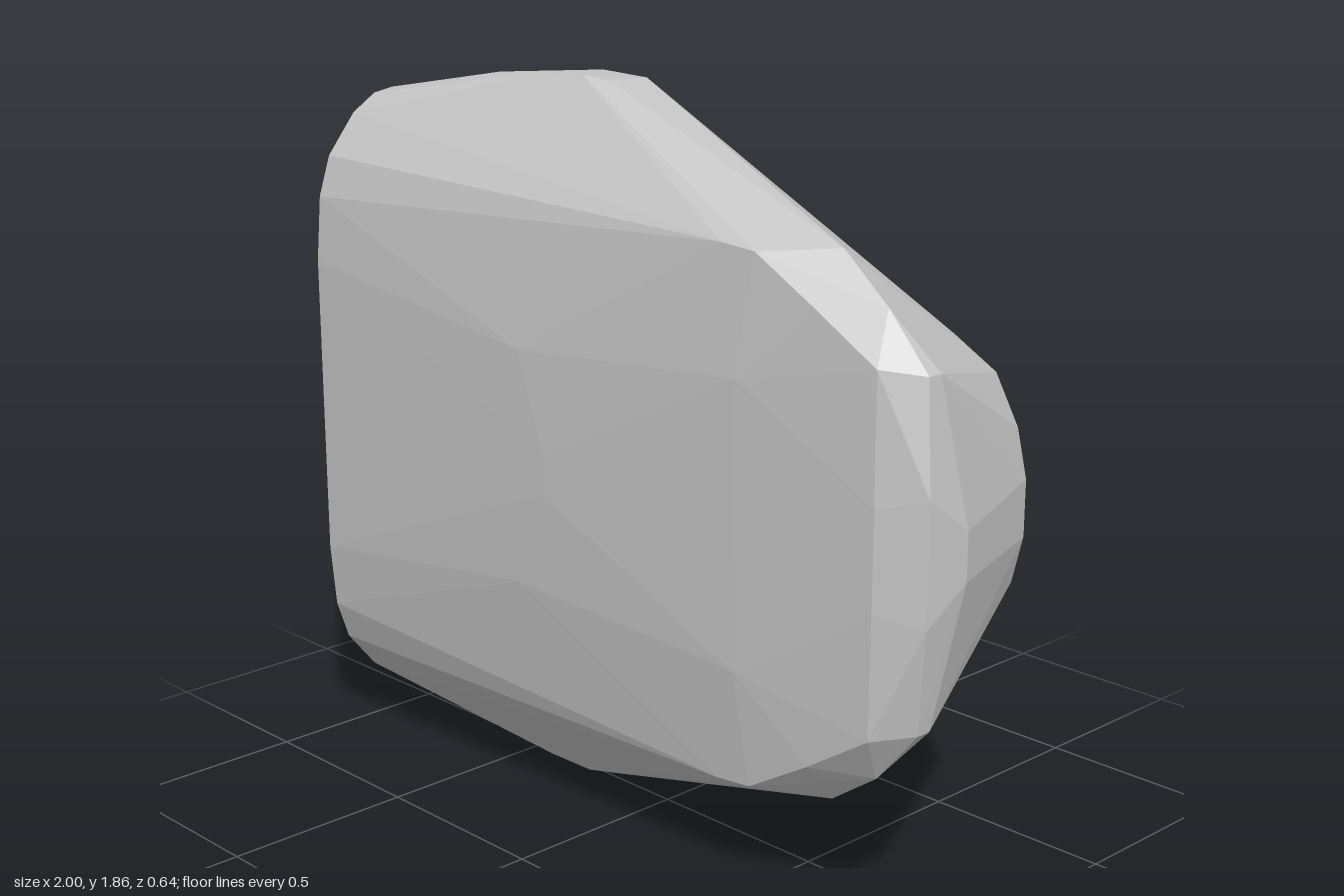
import * as THREE from 'three';
import { ConvexGeometry } from 'three/addons/geometries/ConvexGeometry.js';

const MID = 0.93; // height of the mirror plane

// Half outlines as [x, height above the mirror plane, z]
const backCut = [
  [0.87, 0.07], [0.84, 0.19], [0.77, 0.31], [0.64, 0.38], [0.12, 0.61], [-0.1, 0.65],
  [-0.3, 0.66], [-0.47, 0.63], [-0.6, 0.59], [-0.72, 0.53], [-0.81, 0.44], [-0.88, 0.32],
  [-0.93, 0.15], [-0.96, 0],
].map(([x, h]) => [x, h, -0.32]);

const sideCut = [
  [0, -0.3], [0.24, -0.29], [0.46, -0.25], [0.57, -0.21], [0.67, -0.155], [0.75, -0.09],
  [0.81, -0.01], [0.835, 0.06], [0.825, 0.12], [0.78, 0.19], [0.675, 0.275], [0.57, 0.31],
  [0.4, 0.325], [0, 0.325],
].map(([h, z]) => [-1, h, z]);

const rim = [
  [-0.62, 0.905, 0], [-0.62, 0.895, -0.1], [-0.42, 0.925, 0.03], [-0.28, 0.93, 0.02],
  [-0.2, 0.92, 0], [-0.38, 0.92, -0.14], [-0.22, 0.915, -0.14], [0.69, 0.655, 0.13],
  [0.84, 0.55, 0.15], [0.95, 0.415, 0.14], [0.95, 0.415, 0.1], [1, 0.06, 0.05],
  [0.985, 0.15, 0.165],
];

const frontFace = [
  [-0.1, 0.05, 0.322], [-0.2, 0.3, 0.318], [0.43, 0.648, 0.25], [0.53, 0.64, 0.245],
  [0.5, 0.35, 0.275], [0.7, 0.54, 0.235], [0.87, 0.43, 0.218], [0.88, 0.12, 0.227],
];

export function createModel() {
  const group = new THREE.Group();
  group.name = 'boulder';

  const stoneGrey = new THREE.MeshStandardMaterial({ color: 0xc5c5c5 });
  stoneGrey.name = 'stoneGrey';

  // Mirror the half outlines top to bottom and wrap them in a faceted hull
  const points = [...backCut, ...sideCut, ...rim, ...frontFace].flatMap(([x, h, z]) => [
    new THREE.Vector3(x, MID + h, z),
    new THREE.Vector3(x, MID - h, z),
  ]);

  const stone = new THREE.Mesh(new ConvexGeometry(points), stoneGrey);
  stone.name = 'cutStone';
  group.add(stone);
  return group;
}
